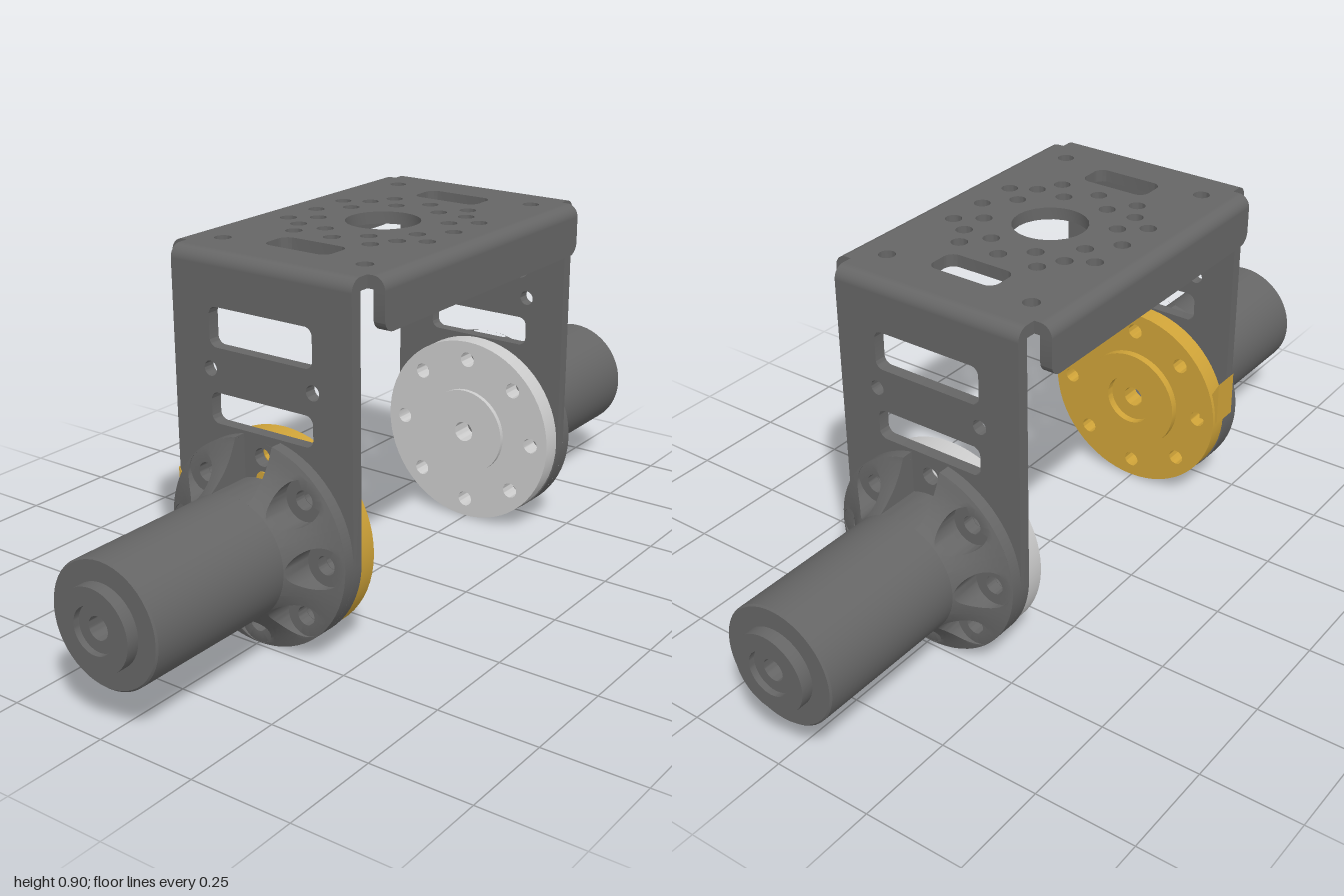
import * as THREE from 'three';
import { toCreasedNormals } from 'three/addons/utils/BufferGeometryUtils.js';

const T = 0.03, CY = 0.253, R = 0.25, HUB = 0.147, BOLT = 0.198, Z0 = 0.46;
const mat = (color) => new THREE.MeshStandardMaterial({ color });
const dark = mat(0x666666), gold = mat(0xcfa338), silver = mat(0xcccccc);

function add(parent, name, geometry, material = dark) {
  const mesh = new THREE.Mesh(geometry, material);
  mesh.name = name;
  parent.add(mesh);
  return mesh;
}

const circle = (x, y, r) => new THREE.Path().absarc(x, y, r, 0, Math.PI * 2, true);

// Rounded rectangle centred on x, y with half sizes w, h
function slot(x, y, w, h, r) {
  const p = new THREE.Path();
  p.absarc(x + w - r, y + h - r, r, 0, Math.PI / 2);
  p.absarc(x - w + r, y + h - r, r, Math.PI / 2, Math.PI);
  p.absarc(x - w + r, y - h + r, r, Math.PI, Math.PI * 1.5);
  p.absarc(x + w - r, y - h + r, r, Math.PI * 1.5, Math.PI * 2);
  p.closePath();
  return p;
}

function plate(shape, holes, depth, segments = 12) {
  shape.holes.push(...holes);
  const g = new THREE.ExtrudeGeometry(shape, { depth, bevelEnabled: false, curveSegments: segments });
  return toCreasedNormals(g, 0.6);
}

function boltHoles(y, r) {
  return Array.from({ length: 8 }, (_, i) => {
    const a = i * Math.PI / 4;
    return circle(BOLT * Math.sin(a), y + BOLT * Math.cos(a), r);
  });
}

function disc(r, holes, depth) {
  return plate(new THREE.Shape().absarc(0, 0, r, 0, Math.PI * 2), holes, depth, 32);
}

// Quarter round joining two plates
function bend(length, start) {
  return new THREE.CylinderGeometry(T, T, length, 8, 1, false, start, Math.PI / 2);
}

function bracketTop() {
  const s = new THREE.Shape();
  const x = 0.25, x2 = 0.265, z = 0.43, z2 = 0.405;
  s.setFromPoints([[-x, -z], [x, -z], [x, -z2], [x2, -z2], [x2, z2], [x, z2],
    [x, z], [-x, z], [-x, z2], [-x2, z2], [-x2, -z2], [-x, -z2]].map((p) => new THREE.Vector2(...p)));
  const holes = [circle(0, 0, 0.09), slot(0, 0.295, 0.09, 0.042, 0.025), slot(0, -0.295, 0.09, 0.042, 0.025)];
  for (const sy of [-1, 1]) {
    holes.push(circle(0, 0.198 * sy, 0.02), circle(0.198 * sy, 0, 0.02));
    for (const sx of [-1, 1]) {
      for (const [a, b] of [[0.198, 0.343], [0.108, 0.2], [0.198, 0.108], [0.14, 0.142], [0.062, 0.142], [0.142, 0.065]])
        holes.push(circle(a * sx, b * sy, 0.02));
    }
  }
  return plate(s, holes, T).rotateX(-Math.PI / 2).translate(0, 0.9 - T, 0);
}

// Leg with windows and a round foot
function leg() {
  const s = new THREE.Shape();
  s.moveTo(R, 0.9 - T);
  s.lineTo(-R, 0.9 - T);
  s.absarc(0, CY, R, Math.PI, Math.PI * 2);
  const holes = [slot(0, 0.731, 0.144, 0.047, 0.02), slot(0, 0.541, 0.144, 0.037, 0.02),
    circle(0.144, 0.632, 0.018), circle(-0.144, 0.632, 0.018), circle(0, CY, 0.03), ...boltHoles(CY, 0.022)];
  return plate(s, holes, T, 24).translate(0, 0, Z0 - T);
}

function sideLip() {
  const s = new THREE.Shape();
  const w = 0.405, b = 0.778, r = 0.03;
  s.moveTo(w, 0.9 - T);
  s.lineTo(-w, 0.9 - T);
  s.absarc(-w + r, b + r, r, Math.PI, Math.PI * 1.5);
  s.absarc(w - r, b + r, r, Math.PI * 1.5, Math.PI * 2);
  return plate(s, [], T).rotateY(Math.PI / 2).translate(0.265, 0, 0);
}

// Concave flare from the flange rim up to the hub
function flare(r) {
  const t = THREE.MathUtils.clamp((R - r) / (R - HUB), 0, 1);
  return 0.49 + 0.085 * (0.5 * t + 0.5 * t ** 3);
}

// One eighth of the flange: flared skin, sunk pocket, bolt hole
function flangeSector(isSlot) {
  const N = 48, steps = 4, mid = (R + HUB) / 2, half = (R - HUB) / 2;
  const floor = isSlot ? Z0 : 0.49;
  const rings = Array.from({ length: steps + 4 }, () => []);
  const onRim = [];
  for (let i = 0; i <= N; i++) {
    const a = i / N * Math.PI * 2, c = Math.cos(a), s = Math.sin(a);
    const m = Math.max(Math.abs(c), Math.abs(s));
    const sx = c / m, sy = s / m, r = mid + half * sy;
    onRim.push(sy > 0.999);
    const polar = (angle) => new THREE.Vector3(r * Math.sin(angle), r * Math.cos(angle), 0);
    const outer = polar(sx * Math.PI / 8);
    const inner = isSlot ? polar(Math.asin(0.052 * sx / r)) : new THREE.Vector3(0.05 * c, BOLT + 0.05 * s, 0);
    for (let j = 0; j <= steps; j++) {
      const p = outer.clone().lerp(inner, j / steps);
      p.z = flare(Math.hypot(p.x, p.y));
      rings[j].push(p);
    }
    const hole = new THREE.Vector3(0.023 * c, BOLT + 0.023 * s, floor);
    rings[steps + 1].push(inner.clone().setZ(floor));
    rings[steps + 2].push(hole);
    rings[steps + 3].push(hole.clone().setZ(Z0 - T));
  }
  const pts = [];
  for (let j = 0; j < rings.length - 1; j++) {
    for (let i = 0; i < N; i++) {
      if (isSlot && j === steps && onRim[i] && onRim[i + 1]) continue; // slot is open at the rim
      const [a, b, c, d] = [rings[j][i], rings[j][i + 1], rings[j + 1][i], rings[j + 1][i + 1]];
      pts.push(a, b, c, b, d, c);
    }
  }
  const g = new THREE.BufferGeometry().setFromPoints(pts);
  return toCreasedNormals(g, 0.6);
}

// Hub with its flange, on the +z side
function hub() {
  const g = new THREE.Group();
  const profile = [[HUB, Z0], [HUB, 0.966], [0.143, 0.97], [0.096, 0.97], [0.096, 1], [0.055, 1], [0.055, 0.985],
    [0.027, 0.985], [0.027, Z0 - T]].map((p) => new THREE.Vector2(...p));
  add(g, 'hubBarrel', toCreasedNormals(new THREE.LatheGeometry(profile, 48).toNonIndexed(), 0.5).rotateX(Math.PI / 2));
  const pocket = flangeSector(false);
  for (let i = 0; i < 8; i++) {
    add(g, 'flangeSector', i ? pocket : flangeSector(true)).rotation.z = i * Math.PI / 4;
  }
  const gap = Math.asin(0.052 / R);
  const rim = new THREE.CylinderGeometry(R, R, 0.03, 64, 1, true, Math.PI + gap, Math.PI * 2 - gap * 2);
  add(g, 'flangeRim', rim.rotateX(Math.PI / 2).translate(0, 0, 0.475));
  g.position.y = CY;
  return g;
}

// Backing disc with a raised centre, inside the leg
function backing(material, bossR, boreR, bossDepth) {
  const g = new THREE.Group();
  add(g, 'backingDisc', disc(0.247, [circle(0, 0, 0.027), ...boltHoles(0, 0.02)], 0.05).translate(0, 0, 0.38), material);
  add(g, 'backingBoss', disc(bossR, [circle(0, 0, boreR)], bossDepth).translate(0, 0, 0.38 - bossDepth), material);
  g.position.y = CY;
  return g;
}

export function createModel() {
  const model = new THREE.Group();
  model.name = 'bracketWithHubs';
  add(model, 'bracketTop', bracketTop());

  for (const front of [true, false]) {
    const half = new THREE.Group();
    half.name = front ? 'frontHalf' : 'backHalf';
    half.rotation.y = front ? 0 : Math.PI;
    model.add(half);
    add(half, 'leg', leg());
    add(half, 'legBend', bend(R * 2, 0).rotateZ(Math.PI / 2).translate(0, 0.9 - T, Z0 - T));
    add(half, 'sideLip', sideLip());
    add(half, 'sideBend', bend(0.81, Math.PI / 2).rotateX(Math.PI / 2).translate(0.265, 0.9 - T, 0));
    const h = hub();
    h.name = 'hub';
    half.add(h);
    const b = front ? backing(gold, 0.135, 0.067, 0.02) : backing(silver, 0.115, 0.027, 0.012);
    b.name = 'backing';
    half.add(b);
    if (front) {
      // Small tab on the disc edge and pin in the slot
      const tab = new THREE.Shape([[-0.252, 0], [-0.2, 0], [-0.2, 0.02], [-0.235, 0.085], [-0.252, 0.117]]
        .map((p) => new THREE.Vector2(...p)));
      add(b, 'edgeTab', plate(tab, [], 0.073).translate(0, 0, 0.39), gold);
      add(b, 'slotPin', disc(0.017, [], 0.01).translate(0, 0.147, 0.453), gold);
    }
  }
  return model;
}
